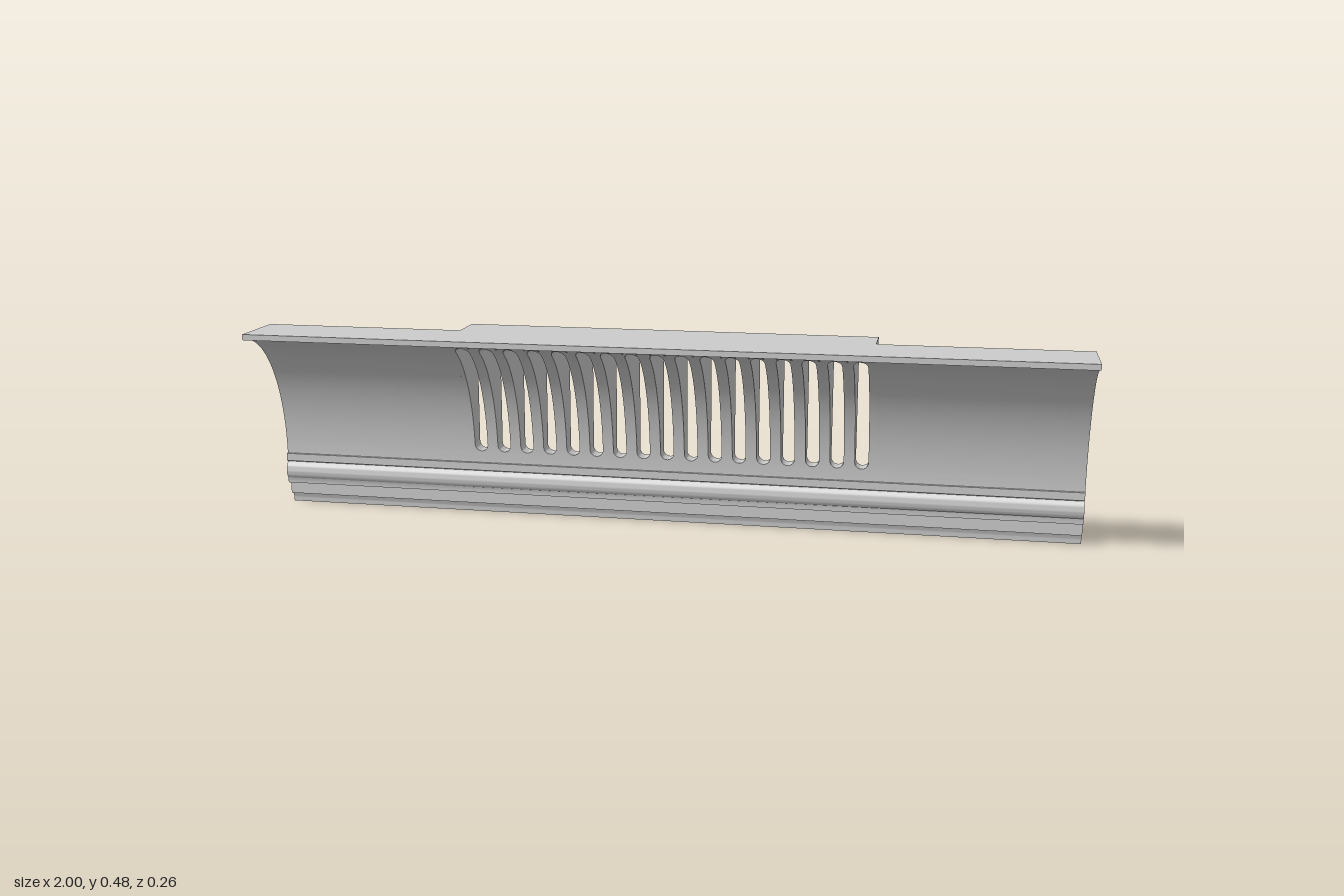
import * as THREE from 'three';
import { toCreasedNormals } from 'three/addons/utils/BufferGeometryUtils.js';

const TOP = 0.481, BACK = -0.129, FRONT = 0.129;
const COVE = { z: FRONT, y: 0.135, a: 0.218, b: 0.332 }; // quarter ellipse of the cove
const SLOT = { count: 17, pitch: 0.0595, r: 0.0165, bottom: 0.165, top: 0.455 };
const CENTRE = 0.505; // half width of the slotted block

const coveAngle = (y) => Math.asin(Math.min(1, (y - COVE.y) / COVE.b));
const coveZ = (y) => COVE.z - COVE.a * Math.cos(coveAngle(y));

// points [z, y] up the cove between two heights
function covePoints(y0, y1, n) {
  const t0 = coveAngle(y0), t1 = coveAngle(y1), pts = [];
  for (let i = 0; i <= n; i++) {
    const t = t0 + (t1 - t0) * i / n;
    pts.push([COVE.z - COVE.a * Math.cos(t), COVE.y + COVE.b * Math.sin(t)]);
  }
  return pts;
}

// points [z, y] along an elliptical arc
function arc(z, y, rz, ry, a0, a1, n) {
  const pts = [];
  for (let i = 0; i <= n; i++) {
    const a = a0 + (a1 - a0) * i / n;
    pts.push([z + rz * Math.cos(a), y + ry * Math.sin(a)]);
  }
  return pts;
}

const material = new THREE.MeshStandardMaterial({ color: 0xcccccc });

function addMesh(group, name, geometry) {
  const mesh = new THREE.Mesh(toCreasedNormals(geometry, 0.5), material);
  mesh.name = name;
  group.add(mesh);
}

// extrude a [z, y] profile along x
function addProfile(group, name, pts, x0, x1) {
  const shape = new THREE.Shape(pts.map(([z, y]) => new THREE.Vector2(z, y)));
  const geo = new THREE.ExtrudeGeometry(shape, { depth: x1 - x0, bevelEnabled: false });
  geo.rotateY(-Math.PI / 2).translate(x1, 0, 0);
  addMesh(group, name, geo);
}

// heights and slot half widths, with round slot ends
function slotRows() {
  const rows = [], { r, bottom, top } = SLOT, n = 8;
  for (let i = 0; i <= n; i++) {
    const a = i / n * Math.PI / 2;
    rows.push([bottom + r * (1 - Math.cos(a)), r * Math.sin(a)]);
  }
  for (const [, y] of covePoints(bottom + r, top - r, 24).slice(1, -1)) rows.push([y, r]);
  for (let i = n; i >= 0; i--) {
    const a = i / n * Math.PI / 2;
    rows.push([top - r * (1 - Math.cos(a)), r * Math.sin(a)]);
  }
  return rows;
}

// bar between two slots, lofted upward from rectangular sections
function barGeometry(rows, left, right) {
  const pos = [], index = [];
  rows.forEach(([y, w], k) => {
    const xl = left(w), xr = right(w), zf = coveZ(y);
    pos.push(xl, y, zf, xr, y, zf, xr, y, BACK, xl, y, BACK);
    if (k === 0) return;
    for (let j = 0; j < 4; j++) {
      const a = (k - 1) * 4 + j, b = (k - 1) * 4 + (j + 1) % 4;
      index.push(a, b, b + 4, a, b + 4, a + 4);
    }
  });
  const geo = new THREE.BufferGeometry();
  geo.setAttribute('position', new THREE.Float32BufferAttribute(pos, 3));
  geo.setIndex(index);
  return geo;
}

export function createModel() {
  const model = new THREE.Group();
  model.name = 'ventedCornice';

  // lower mouldings: foot cove, fillets, bead and start of the big cove
  addProfile(model, 'lowerMoulding', [
    [BACK, 0], [-0.114, 0], [-0.114, 0.01],
    ...arc(-0.114 - 0.002, 0.01, 0.0025, 0.013, 0.1, 0.2, 1).slice(1),
    ...arc(-0.112 + 0.0, 0.012, 0.0, 0.0, 0, 0, 1).slice(2),
    ...arc(-0.1135, 0.0125, 0.0125 * 0.8, 0.0115, Math.PI * 0.05, Math.PI * 0.45, 5).slice(4),
    [-0.099, 0.025], [-0.099, 0.057], [-0.084, 0.057], [-0.084, 0.071],
    ...arc(-0.09, 0.09, 0.0135, 0.0215, -Math.PI * 0.33, Math.PI * 0.36, 10),
    [-0.089, 0.113], [-0.082, 0.116], [-0.082, 0.135],
    ...covePoints(COVE.y, SLOT.bottom, 4),
    [BACK, SLOT.bottom],
  ], -1, 1);

  // chamfered wings on both sides
  const wing = [
    ...covePoints(SLOT.bottom, COVE.y + COVE.b, 36),
    [FRONT, TOP], [-0.03, TOP], [BACK, 0.244], [BACK, SLOT.bottom],
  ];
  addProfile(model, 'rightWing', wing, -1, -CENTRE);
  addProfile(model, 'leftWing', wing, CENTRE, 1);

  // solid strip above the slots
  addProfile(model, 'centreTop', [
    ...covePoints(SLOT.top, COVE.y + COVE.b, 10),
    [FRONT, TOP], [BACK, TOP], [BACK, SLOT.top],
  ], -CENTRE, CENTRE);

  // bars that leave the round-ended slots between them
  const bars = new THREE.Group();
  bars.name = 'ventBars';
  model.add(bars);
  const rows = slotRows();
  const slotX = (i) => (i - (SLOT.count - 1) / 2) * SLOT.pitch;
  for (let i = 0; i <= SLOT.count; i++) {
    const left = (w) => (i === 0 ? -CENTRE : slotX(i - 1) + w);
    const right = (w) => (i === SLOT.count ? CENTRE : slotX(i) - w);
    addMesh(bars, 'ventBar', barGeometry(rows, left, right));
  }
  return model;
}
